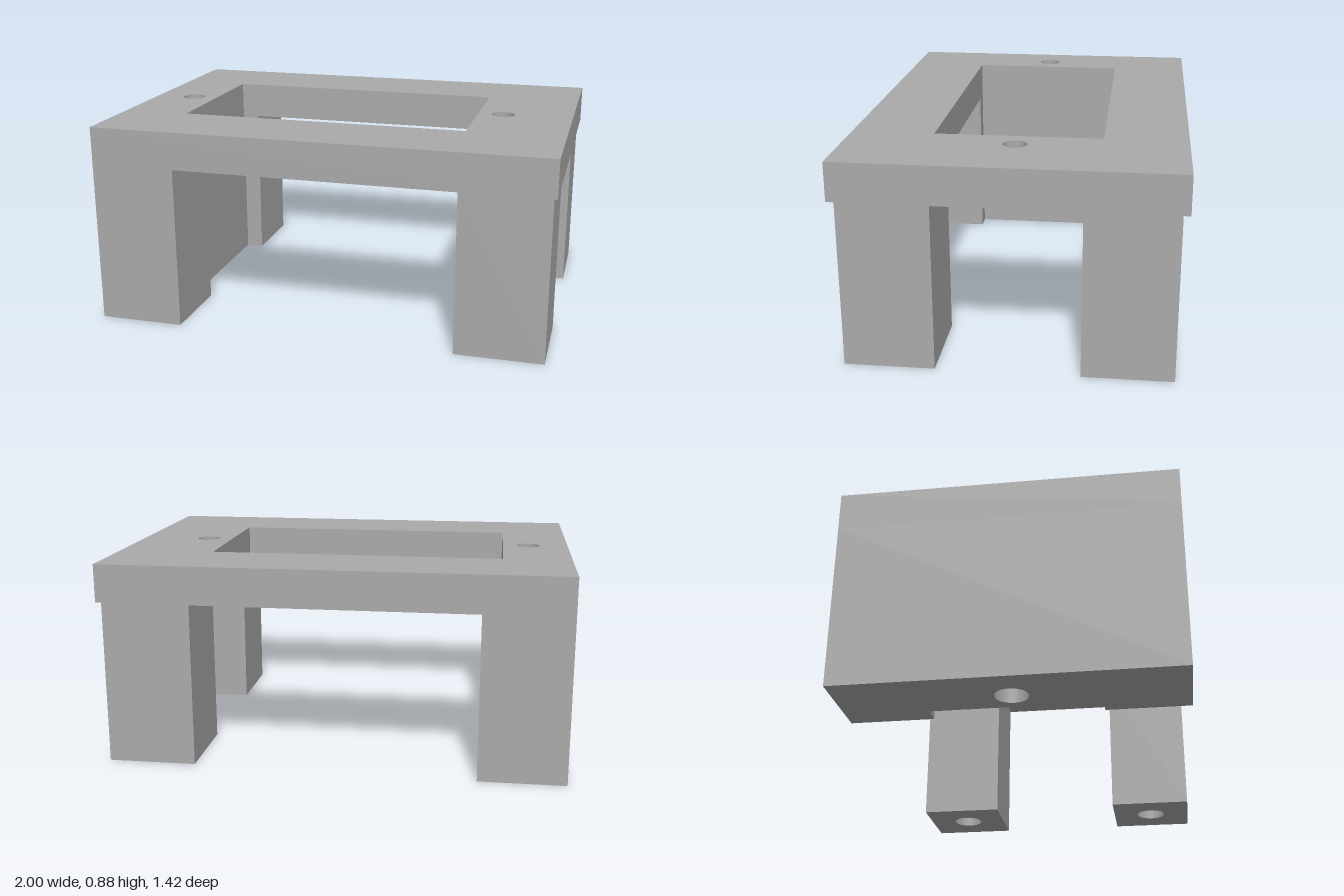
import * as THREE from 'three';
import { toCreasedNormals } from 'three/addons/utils/BufferGeometryUtils.js';

const PLATE_Y = 0.72, TOP_Y = 0.885, HALF_Z = 0.708, WINDOW_Z = 0.355;

const polygon = (C, pts) => new C(pts.map(([x, y]) => new THREE.Vector2(x, y)));
const rect = (x0, x1, y0, y1) => [[x0, y0], [x1, y0], [x1, y1], [x0, y1]];

function roundHole(x, y, r) {
  const hole = new THREE.Path();
  hole.absarc(x, y, r, 0, Math.PI * 2, true);
  return hole;
}

export function createModel() {
  const group = new THREE.Group();
  const grey = new THREE.MeshStandardMaterial({ color: 0xaaaaaa });
  grey.name = 'grey plastic';

  // Extrude a plan outline upward from y0 to y1
  function addPart(name, outline, holes, y0, y1) {
    const shape = polygon(THREE.Shape, outline);
    shape.holes.push(...holes);
    const geo = new THREE.ExtrudeGeometry(shape, { depth: y1 - y0, bevelEnabled: false, curveSegments: 32 });
    geo.rotateX(-Math.PI / 2);
    geo.translate(0, y0, 0);
    const mesh = new THREE.Mesh(toCreasedNormals(geo, 0.6), grey);
    mesh.name = name;
    group.add(mesh);
  }

  // Top plate with window and two screw holes
  addPart('topPlate', rect(-1, 1, -HALF_Z, HALF_Z), [
    polygon(THREE.Path, rect(-0.705, 0.577, -WINDOW_Z, WINDOW_Z)),
    roundHole(-0.82, 0, 0.051),
    roundHole(0.69, 0, 0.051),
  ], PLATE_Y, TOP_Y);

  // Side wall, notched in line with the window, with a wider bore below the plate
  addPart('sideWall', [
    [-1, -HALF_Z], [-0.625, -HALF_Z], [-0.625, -WINDOW_Z], [-0.705, -WINDOW_Z],
    [-0.705, WINDOW_Z], [-0.625, WINDOW_Z], [-0.625, HALF_Z], [-1, HALF_Z],
  ], [roundHole(-0.815, 0, 0.07)], 0, PLATE_Y);

  // Two square legs, bored from below
  for (const [name, s] of [['frontLeg', -1], ['backLeg', 1]]) {
    addPart(name, rect(0.602, 0.985, s * 0.49 - 0.19, s * 0.49 + 0.19),
      [roundHole(0.793, s * 0.49, 0.07)], 0, PLATE_Y);
  }
  return group;
}
